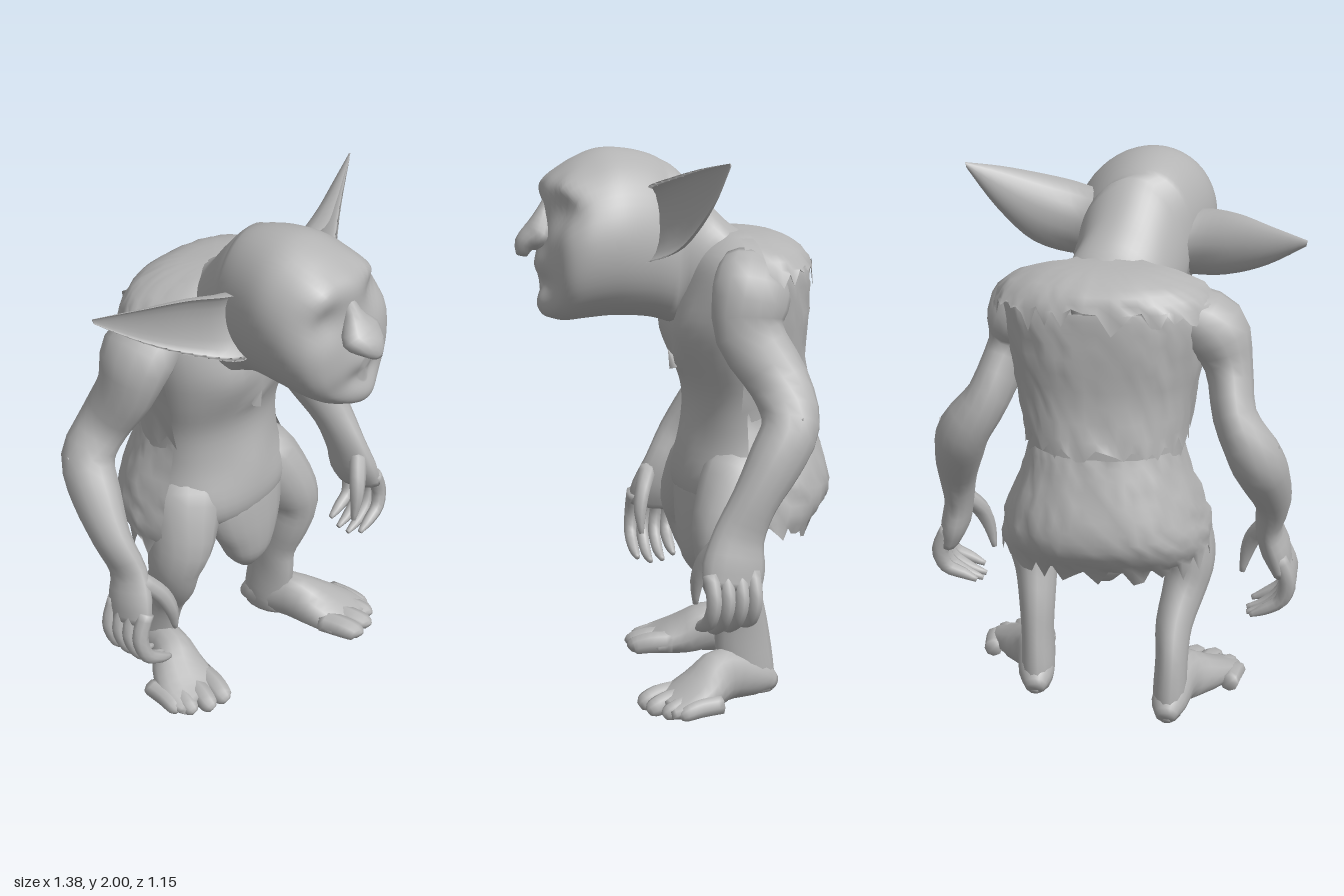
import * as THREE from 'three';

const V = (x, y, z) => new THREE.Vector3(x, y, z);
const clay = new THREE.MeshStandardMaterial({ color: 0xb4b4b4, side: THREE.DoubleSide });
clay.name = 'clay grey';

// Catmull-Rom resampling of rows of numbers, k steps between rows
function smooth(rows, k) {
  const out = [], n = rows.length - 1;
  for (let i = 0; i < n; i++) {
    const p = [rows[Math.max(i - 1, 0)], rows[i], rows[i + 1], rows[Math.min(i + 2, n)]];
    for (let j = 0; j < k; j++) {
      const t = j / k;
      out.push(p[1].map((b, c) => {
        const a = p[0][c], d = p[2][c], e = p[3][c];
        return b + 0.5 * t * (d - a + t * (2 * a - 5 * b + 4 * d - e + t * (3 * (b - d) + e - a)));
      }));
    }
  }
  out.push(rows[n]);
  return out;
}

// Surface through rings of points; closed rings get end caps and face outward
function skin(name, rings, closed = true) {
  const pos = [], idx = [], n = rings[0].length, m = rings.length;
  rings.forEach(r => r.forEach(p => pos.push(p.x, p.y, p.z)));
  for (let i = 0; i < m - 1; i++) for (let j = 0; j < (closed ? n : n - 1); j++) {
    const a = i * n + j, b = i * n + (j + 1) % n;
    idx.push(a, b, a + n, b, b + n, a + n);
  }
  if (closed) [0, m - 1].forEach(r => {
    const c = rings[r].reduce((s, p) => s.add(p), V(0, 0, 0)).divideScalar(n), ci = pos.length / 3;
    pos.push(c.x, c.y, c.z);
    for (let j = 0; j < n; j++) {
      const a = r * n + j, b = r * n + (j + 1) % n;
      r ? idx.push(a, b, ci) : idx.push(b, a, ci);
    }
  });
  let vol = 0;
  const at = i => V(pos[3 * i], pos[3 * i + 1], pos[3 * i + 2]);
  for (let i = 0; i < idx.length; i += 3) vol += at(idx[i]).dot(at(idx[i + 1]).cross(at(idx[i + 2])));
  if (vol < 0) idx.reverse();
  const g = new THREE.BufferGeometry();
  g.setAttribute('position', new THREE.Float32BufferAttribute(pos, 3));
  g.setIndex(idx);
  g.computeVertexNormals();
  const mesh = new THREE.Mesh(g, clay);
  mesh.name = name;
  return mesh;
}

const around = (n, f) => Array.from({ length: n }, (_, j) => f(j / n * Math.PI * 2));
const pow = (v, e) => Math.sign(v) * Math.abs(v) ** e;

// Push a point along z by soft bumps [x, y, z, radius, push]
function sculpt(p, bumps) {
  const push = bumps.reduce((s, b) => s + b[4] * Math.exp(-p.distanceToSquared(V(b[0], b[1], b[2])) / (b[3] * b[3])), 0);
  p.z += push;
  return p;
}

// Tapered limb through rows [x, y, z, width radius, depth radius]
function limb(name, rows, n = 12, k = 3) {
  const s = smooth(rows, k), P = s.map(r => V(r[0], r[1], r[2])), ref = V(1, 0, 0);
  return skin(name, s.map((r, i) => {
    const t = P[Math.min(i + 1, P.length - 1)].clone().sub(P[Math.max(i - 1, 0)]).normalize();
    const w = t.clone().cross(ref).normalize(), u = w.clone().cross(t);
    return around(n, a => {
      const p = P[i].clone().addScaledVector(u, Math.cos(a) * r[3]).addScaledVector(w, Math.sin(a) * r[4]);
      p.y = Math.max(p.y, 0.005);
      return p;
    });
  }));
}

// Ragged pelt wrapped round the back, rows [y, centre z, x radius, z radius]
function pelt(name, rows, span, jag, seed, lift = 0) {
  const n = 37, s = smooth(rows, 3);
  const rnd = i => { const v = Math.sin(i * 12.9898 + seed) * 43758.5453; return v - Math.floor(v); };
  return skin(name, s.map((r, i) => Array.from({ length: n }, (_, j) => {
    const a = (j / (n - 1) * 2 - 1) * span, end = i === s.length - 1;
    const drop = end ? (rnd(j) - 0.6) * jag * 2 : 0;
    const puff = 1 + 0.04 * (rnd(i * 40 + j) - 0.5);
    const rise = lift * (i / s.length) ** 2 * (1 - Math.cos(a));
    return V(pow(Math.sin(a), 0.85) * r[2] * puff, r[0] + drop + rise, r[1] - pow(Math.cos(a), 0.85) * r[3] * puff);
  })), false);
}

// Cupped ear, rows [top x, y, z, bottom x, y, z, cup depth]
function ear(name, rows) {
  return skin(name, smooth(rows, 4).map(r => {
    const a = V(r[0], r[1], r[2]), b = V(r[3], r[4], r[5]);
    const back = V(-Math.sign(r[0]) * 0.35, 0, -1).normalize();
    return around(18, q => {
      const t = (1 - Math.cos(q)) / 2, bow = Math.sin(q);
      return a.clone().lerp(b, t).addScaledVector(back, r[6] * (bow >= 0 ? bow : -0.4 * bow));
    });
  }));
}

// Small pointed tuft of hair
function tuft(name, x, y, z, dx, dy, dz, len) {
  const d = V(dx, dy, dz).normalize(), m = new THREE.Mesh(new THREE.ConeGeometry(len * 0.35, len, 5), clay);
  m.name = name;
  m.position.set(x, y, z);
  m.quaternion.setFromUnitVectors(V(0, 1, 0), d);
  return m;
}

export function createModel() {
  const g = new THREE.Group();
  g.name = 'goblin';

  // Torso: rows [y, front z, back z, half width], with chest and belly modelling
  const body = [[0.66, -0.1, -0.34, 0.16], [0.71, -0.035, -0.42, 0.26], [0.8, -0.015, -0.5, 0.31],
    [0.95, -0.05, -0.47, 0.28], [1.1, -0.055, -0.46, 0.28], [1.25, -0.015, -0.45, 0.31], [1.4, 0.005, -0.46, 0.34],
    [1.54, -0.02, -0.46, 0.35], [1.63, -0.06, -0.42, 0.29], [1.7, -0.14, -0.32, 0.13]];
  const muscles = [[0.15, 1.34, 0, 0.11, 0.03], [-0.15, 1.34, 0, 0.11, 0.03], [0, 1.4, 0, 0.05, -0.02],
    [0, 1.22, 0, 0.04, 0.025], [0, 0.92, -0.05, 0.1, 0.02]];
  g.add(skin('torso', smooth(body, 4).map(r => around(36, a => sculpt(V(pow(Math.cos(a), 0.9) * r[3], r[0],
    (r[1] + r[2]) / 2 + pow(Math.sin(a), 0.8) * (r[1] - r[2]) / 2), muscles)))));
  g.add(tuft('chestTuft', -0.02, 1.23, 0, 0, 0.9, 0.4, 0.07));

  // Ragged pelts and hanging loincloth
  g.add(pelt('backPelt', [[1.69, -0.22, 0.03, 0.03], [1.68, -0.21, 0.2, 0.15], [1.63, -0.2, 0.32, 0.25], [1.56, -0.2, 0.365, 0.28],
    [1.42, -0.2, 0.355, 0.285], [1.25, -0.2, 0.32, 0.28], [1.09, -0.2, 0.295, 0.315]], 1.65, 0.035, 3));
  g.add(pelt('shoulderPelt', [[1.71, -0.22, 0.03, 0.03], [1.695, -0.21, 0.2, 0.16], [1.645, -0.2, 0.335, 0.26],
    [1.57, -0.2, 0.4, 0.29]], 1.5, 0.05, 8));
  g.add(pelt('skirt', [[1.06, -0.24, 0.27, 0.25], [0.95, -0.24, 0.3, 0.29], [0.81, -0.24, 0.35, 0.335],
    [0.71, -0.23, 0.375, 0.33], [0.61, -0.22, 0.38, 0.25]], 1.7, 0.045, 5, 0.06));
  g.add(limb('loincloth', [[0.01, 0.92, -0.16, 0.2, 0.06], [0.01, 0.8, -0.115, 0.22, 0.085], [0.02, 0.68, -0.1, 0.19, 0.085],
    [0.03, 0.57, -0.1, 0.145, 0.085], [0.03, 0.48, -0.1, 0.1, 0.07], [0.03, 0.415, -0.1, 0.035, 0.025]], 18));

  // Head and neck: rows [z, top y, bottom y, half width, centre x]
  const skull = [[-0.32, 1.66, 1.36, 0.12, 0], [-0.2, 1.73, 1.31, 0.185, 0], [-0.1, 1.84, 1.32, 0.185, -0.04],
    [0, 1.94, 1.36, 0.2, -0.06], [0.1, 1.985, 1.39, 0.23, -0.065], [0.23, 2.0, 1.4, 0.26, -0.07],
    [0.33, 1.97, 1.395, 0.26, -0.07], [0.4, 1.92, 1.39, 0.238, -0.065], [0.44, 1.865, 1.4, 0.2, -0.06],
    [0.463, 1.76, 1.415, 0.14, -0.055], [0.476, 1.66, 1.45, 0.08, -0.05], [0.481, 1.6, 1.5, 0.03, -0.05]];
  const face = [[-0.2, 1.85, 0.38, 0.07, 0.045], [0.06, 1.87, 0.38, 0.07, 0.045], [-0.07, 1.86, 0.43, 0.07, 0.02],
    [-0.19, 1.76, 0.4, 0.065, -0.055], [0.06, 1.78, 0.4, 0.065, -0.055], [-0.23, 1.66, 0.34, 0.07, 0.03], [0.11, 1.69, 0.34, 0.07, 0.03],
    [-0.15, 1.5, 0.42, 0.045, -0.02], [-0.08, 1.52, 0.46, 0.045, -0.02], [0, 1.53, 0.46, 0.045, -0.02], [0.06, 1.53, 0.42, 0.045, -0.02],
    [-0.05, 1.59, 0.47, 0.07, 0.025], [-0.03, 1.45, 0.45, 0.07, 0.03]];
  g.add(skin('head', smooth(skull, 5).map(r => around(48, a => {
    const h = Math.sin(a) * (r[1] - r[2]) / 2;
    return sculpt(V(r[4] + Math.cos(a) * r[3] - h * (r[0] > 0 ? 0.13 : 0), (r[1] + r[2]) / 2 + h, r[0]), face);
  }))));
  g.add(limb('nose', [[-0.09, 1.84, 0.415, 0.03, 0.03], [-0.085, 1.77, 0.455, 0.035, 0.035], [-0.077, 1.7, 0.49, 0.088, 0.05],
    [-0.07, 1.665, 0.535, 0.062, 0.037], [-0.06, 1.625, 0.55, 0.02, 0.02]], 14));
  g.add(ear('leftEar', [[0.05, 1.86, 0.1, 0.05, 1.63, 0.13, 0.13], [0.17, 1.885, 0.14, 0.17, 1.61, 0.16, 0.14],
    [0.3, 1.925, 0.09, 0.31, 1.67, 0.08, 0.09], [0.42, 1.96, 0.03, 0.43, 1.81, 0.01, 0.045], [0.535, 1.985, -0.03, 0.53, 1.965, -0.03, 0.008]]));
  g.add(ear('rightEar', [[-0.17, 1.78, 0.08, -0.17, 1.58, 0.11, 0.13], [-0.3, 1.805, 0.12, -0.28, 1.555, 0.15, 0.14],
    [-0.43, 1.815, 0.04, -0.41, 1.59, 0.04, 0.09], [-0.56, 1.8, -0.06, -0.55, 1.665, -0.07, 0.045], [-0.69, 1.785, -0.16, -0.685, 1.765, -0.16, 0.008]]));

  // Arms with curled fingers and thumbs
  const arms = {
    left: [[0.22, 1.57, -0.22, 0.09, 0.12], [0.32, 1.51, -0.19, 0.11, 0.145], [0.355, 1.37, -0.17, 0.08, 0.125],
      [0.42, 1.2, -0.26, 0.08, 0.11], [0.51, 1.07, -0.27, 0.095, 0.105], [0.55, 0.95, -0.2, 0.09, 0.1],
      [0.575, 0.82, -0.115, 0.07, 0.085], [0.585, 0.7, -0.055, 0.055, 0.095], [0.605, 0.6, -0.03, 0.055, 0.115], [0.63, 0.52, -0.015, 0.04, 0.105]],
    right: [[-0.26, 1.55, -0.25, 0.09, 0.12], [-0.38, 1.48, -0.25, 0.12, 0.145], [-0.435, 1.35, -0.27, 0.085, 0.115],
      [-0.465, 1.2, -0.35, 0.078, 0.1], [-0.535, 1.07, -0.375, 0.095, 0.1], [-0.575, 0.95, -0.3, 0.09, 0.095],
      [-0.6, 0.82, -0.21, 0.065, 0.08], [-0.585, 0.7, -0.15, 0.05, 0.085], [-0.61, 0.6, -0.12, 0.055, 0.1], [-0.635, 0.52, -0.105, 0.04, 0.1]],
  };
  for (const side of ['left', 'right']) {
    const s = side === 'left' ? 1 : -1, z0 = s > 0 ? 0 : -0.09, dy = s > 0 ? 0.03 : 0;
    g.add(limb(side + 'Arm', arms[side], 14));
    for (let i = 0; i < 4; i++) {
      const z = z0 + 0.06 - i * 0.05, e = Math.abs(i - 1.4) * 0.015;
      g.add(limb(side + 'Finger', [[s * 0.625, 0.58, z, 0.03, 0.03], [s * 0.66, 0.49, z, 0.032, 0.028],
        [s * 0.64, 0.405 + dy / 2, z + 0.01, 0.028, 0.026], [s * 0.575, 0.335 + dy + e, z + 0.015, 0.022, 0.022],
        [s * (0.5 + e), 0.31 + dy + e, z + 0.015, 0.01, 0.01]], 8));
    }
    g.add(limb(side + 'Thumb', [[s * 0.585, 0.68, z0 + 0.01, 0.035, 0.035], [s * 0.53, 0.61, z0 + 0.05, 0.034, 0.032],
      [s * 0.5, 0.53, z0 + 0.07, 0.026, 0.026], [s * 0.482, 0.44, z0 + 0.07, 0.01, 0.01]], 8));
    const e = arms[side][4];
    for (let i = 0; i < 3; i++) g.add(tuft(side + 'ElbowTuft', e[0] + s * (0.075 + i * 0.01), e[1] - i * 0.07, e[2] + i * 0.055, s * 0.4, 1, -0.3, 0.09));
  }

  // Legs, feet and toes; the right leg stands further back
  for (const s of [1, -1]) {
    const side = s > 0 ? 'left' : 'right', b = s > 0 ? 0 : 1, az = -0.2 - 0.15 * b, x = v => s * (v - 0.02 * b);
    g.add(limb(side + 'Leg', [[s * 0.15, 0.94, -0.28, 0.06, 0.08], [s * 0.2, 0.8, -0.21 - 0.02 * b, 0.135, 0.165],
      [s * 0.27, 0.66, -0.12 - 0.05 * b, 0.115, 0.135], [s * 0.3, 0.56, -0.1 - 0.08 * b, 0.093, 0.11],
      [s * 0.285, 0.46, -0.12 - 0.09 * b, 0.08, 0.1], [x(0.275), 0.34, -0.165 - 0.12 * b, 0.068, 0.095],
      [x(0.272), 0.22, az + 0.02, 0.06, 0.105], [x(0.268), 0.08, az, 0.062, 0.105], [x(0.268), 0.02, az, 0.05, 0.1]], 14));
    g.add(limb(side + 'Foot', [[x(0.265), 0.04, az - 0.105, 0.035, 0.03], [x(0.27), 0.07, az - 0.04, 0.065, 0.07],
      [x(0.295), 0.1, az + 0.1, 0.075, 0.1], [x(0.345), 0.07, az + 0.2, 0.11, 0.08], [x(0.385), 0.045, az + 0.3, 0.13, 0.048],
      [x(0.39), 0.035, az + 0.36, 0.11, 0.032]], 16));
    [[0.29, 0.33, 0.43], [0.36, 0.4, 0.42], [0.425, 0.46, 0.38], [0.475, 0.495, 0.33]].forEach(([x0, x1, z], i) => {
      const r = 0.044 - i * 0.003;
      g.add(limb(side + 'Toe', [[x(x0), 0.05, az + z - 0.16, r, r], [x((x0 + x1) / 2), 0.048, az + z - 0.08, r, r],
        [x(x1), 0.036, az + z - 0.02, r * 0.9, r * 0.8], [x(x1), 0.025, az + z, r * 0.4, r * 0.4]], 8));
    });
  }
  return g;
}
